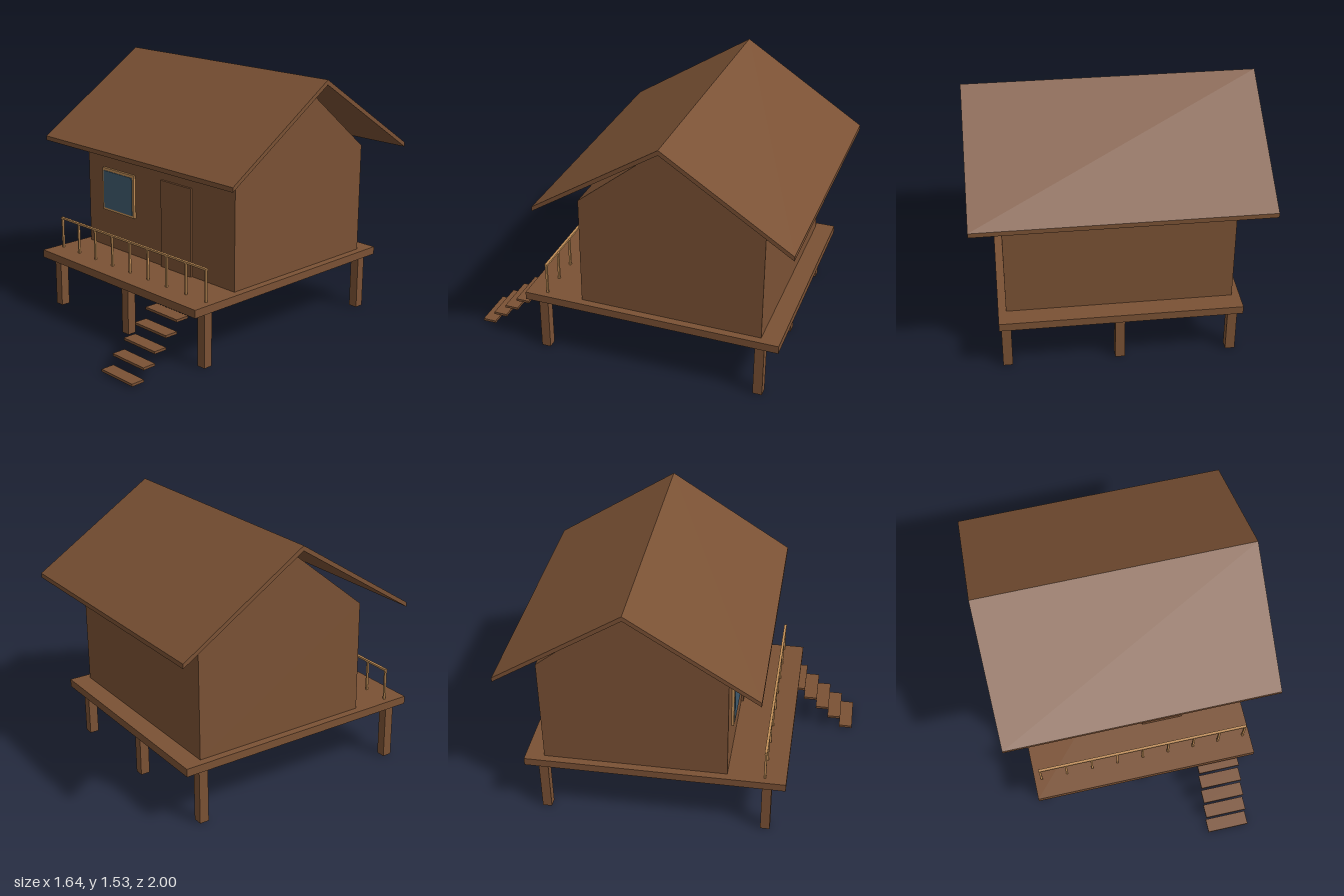
import * as THREE from 'three';

const mat = (name, color) => {
  const m = new THREE.MeshStandardMaterial({ color });
  m.name = name;
  return m;
};

export function createModel() {
  const wood = mat('brown wood', 0x7a5134);
  const trim = mat('light wood', 0xbe8c56);
  const glass = mat('blue glass', 0x3f5a6d);

  const model = new THREE.Group();
  model.name = 'stiltCabin';

  const add = (name, geometry, material, parent = model) => {
    const mesh = new THREE.Mesh(geometry, material);
    mesh.name = name;
    parent.add(mesh);
    return mesh;
  };
  const group = (name) => {
    const g = new THREE.Group();
    g.name = name;
    model.add(g);
    return g;
  };
  // Box given by its low and high corners
  const box = (name, material, [x0, y0, z0], [x1, y1, z1], parent) =>
    add(name, new THREE.BoxGeometry(x1 - x0, y1 - y0, z1 - z0), material, parent)
      .position.set((x0 + x1) / 2, (y0 + y1) / 2, (z0 + z1) / 2);
  // Side profile of [z, y] points, extruded along x about the centre
  const sideProfile = (points, width) => {
    const shape = new THREE.Shape(points.map(([z, y]) => new THREE.Vector2(-z, y)));
    return new THREE.ExtrudeGeometry(shape, { depth: width, bevelEnabled: false })
      .translate(0, 0, -width / 2)
      .rotateY(Math.PI / 2);
  };

  // Deck on six posts
  box('deck', wood, [-0.69, 0.325, -0.915], [0.69, 0.373, 0.635]);
  const posts = group('posts');
  for (const x of [-0.65, 0, 0.65])
    for (const z of [0.525, -0.803])
      box('post', wood, [x - 0.028, 0, z - 0.028], [x + 0.028, 0.325, z + 0.028], posts);

  // Walls with gabled ends
  const ridgeZ = -0.256;
  add('walls', sideProfile([
    [0.29, 0.373], [0.29, 1.04], [ridgeZ, 1.483], [-0.802, 1.04], [-0.802, 0.373],
  ], 1.29), wood);

  // Thin gable roof with wide eaves
  add('roof', sideProfile([
    [0.487, 1.03], [0.487, 1.057], [ridgeZ, 1.535], [-1, 1.057], [-1, 1.03], [ridgeZ, 1.506],
  ], 1.64), wood);

  // Door and window
  box('door', wood, [0.045, 0.373, 0.29], [0.3, 0.908, 0.304]);
  const rect = (Type, x0, y0, x1, y1) => new Type([[x0, y0], [x1, y0], [x1, y1], [x0, y1]]
    .map(([x, y]) => new THREE.Vector2(x, y)));
  const frame = rect(THREE.Shape, -0.495, 0.615, -0.2, 0.885);
  frame.holes.push(rect(THREE.Path, -0.48, 0.63, -0.215, 0.868));
  add('windowFrame', new THREE.ExtrudeGeometry(frame, { depth: 0.015, bevelEnabled: false }), trim)
    .position.z = 0.29;
  box('windowPane', glass, [-0.48, 0.63, 0.3], [-0.215, 0.868, 0.309]);

  // Front railing
  const railing = group('railing');
  box('handrail', trim, [-0.652, 0.558, 0.502], [0.652, 0.57, 0.518], railing);
  for (let i = 0; i < 9; i++) {
    const x = -0.645 + i * 0.16125;
    box('baluster', trim, [x - 0.006, 0.373, 0.504], [x + 0.006, 0.558, 0.516], railing);
  }

  // Floating stair treads
  const stairs = group('stairs');
  for (let i = 0; i < 5; i++) {
    const y = 0.008 + i * 0.069;
    const z = 1 - i * 0.081;
    box('tread', wood, [0.33, y, z - 0.083], [0.588, y + 0.015, z], stairs);
  }

  return model;
}
